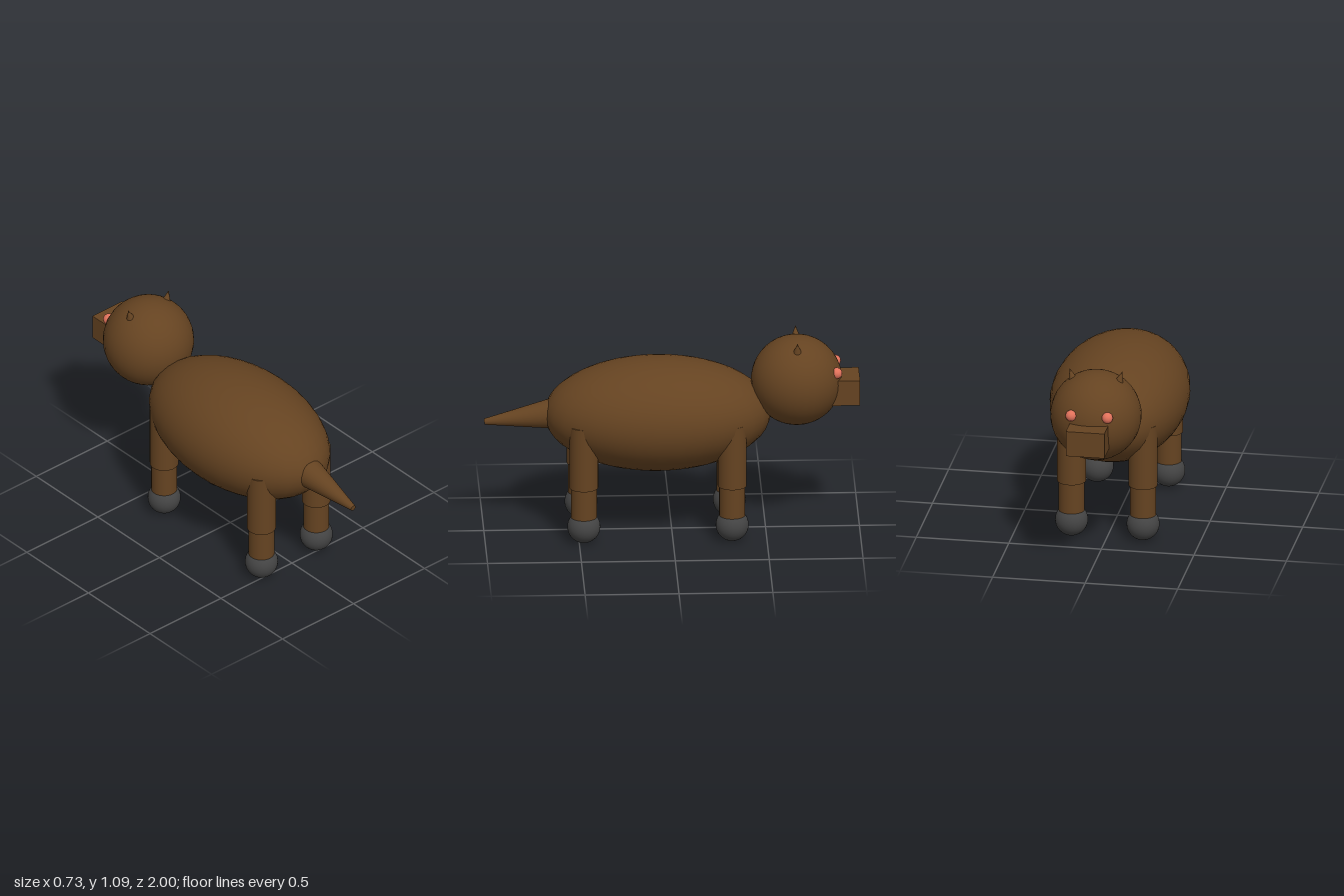
import * as THREE from 'three';

const mat = (name, color) => {
  const m = new THREE.MeshStandardMaterial({ color });
  m.name = name;
  return m;
};

export function createModel() {
  const model = new THREE.Group();
  model.name = 'animal';
  const fur = mat('brown fur', 0x654321);
  const hoofGrey = mat('hoof grey', 0x444444);
  const eyeRed = mat('eye coral', 0xe2725b);

  const add = (name, geometry, material, x, y, z, parent = model) => {
    const mesh = new THREE.Mesh(geometry, material);
    mesh.name = name;
    mesh.position.set(x, y, z);
    parent.add(mesh);
    return mesh;
  };
  const ball = (r) => new THREE.SphereGeometry(r, 32, 24);
  const rod = (top, bottom, h) => new THREE.CylinderGeometry(top, bottom, h, 32);

  // Body, head and snout; the head points to -z
  add('body', ball(1), fur, 0, 0.658, 0.075).scale.set(0.366, 0.303, 0.605);
  add('head', ball(0.243), fur, 0, 0.835, -0.665);
  add('snout', new THREE.BoxGeometry(0.208, 0.14, 0.2), fur, 0, 0.79, -0.9);

  // Tail: a cone tapering backwards and slightly down
  const base = new THREE.Vector3(0, 0.665, 0.6);
  const tip = new THREE.Vector3(0, 0.619, 0.998);
  const axis = tip.clone().sub(base);
  const mid = base.clone().add(tip).multiplyScalar(0.5);
  const tail = add('tail', rod(0.016, 0.088, axis.length()), fur, mid.x, mid.y, mid.z);
  tail.quaternion.setFromUnitVectors(new THREE.Vector3(0, 1, 0), axis.normalize());

  for (const side of [1, -1]) {
    const label = side > 0 ? 'left' : 'right';

    // Ears and eyes
    const ear = add(label + 'Ear', new THREE.ConeGeometry(0.022, 0.058, 16), fur, side * 0.134, 1.062, -0.665);
    ear.rotation.z = -side * 0.28;
    add(label + 'Eye', new THREE.SphereGeometry(0.03, 16, 12), eyeRed, side * 0.098, 0.903, -0.875);

    // Legs: thigh, shin and rounded hoof
    for (const [end, z] of [['Head', -0.315], ['Tail', 0.475]]) {
      const leg = new THREE.Group();
      leg.name = label + end + 'EndLeg';
      leg.position.set(side * 0.193, 0, z);
      model.add(leg);
      add('thigh', rod(0.077, 0.077, 0.35), fur, 0, 0.485, 0, leg);
      add('shin', rod(0.069, 0.069, 0.25), fur, 0, 0.215, 0, leg);
      add('hoof', ball(0.088), hoofGrey, 0, 0.088, 0, leg);
    }
  }
  return model;
}
